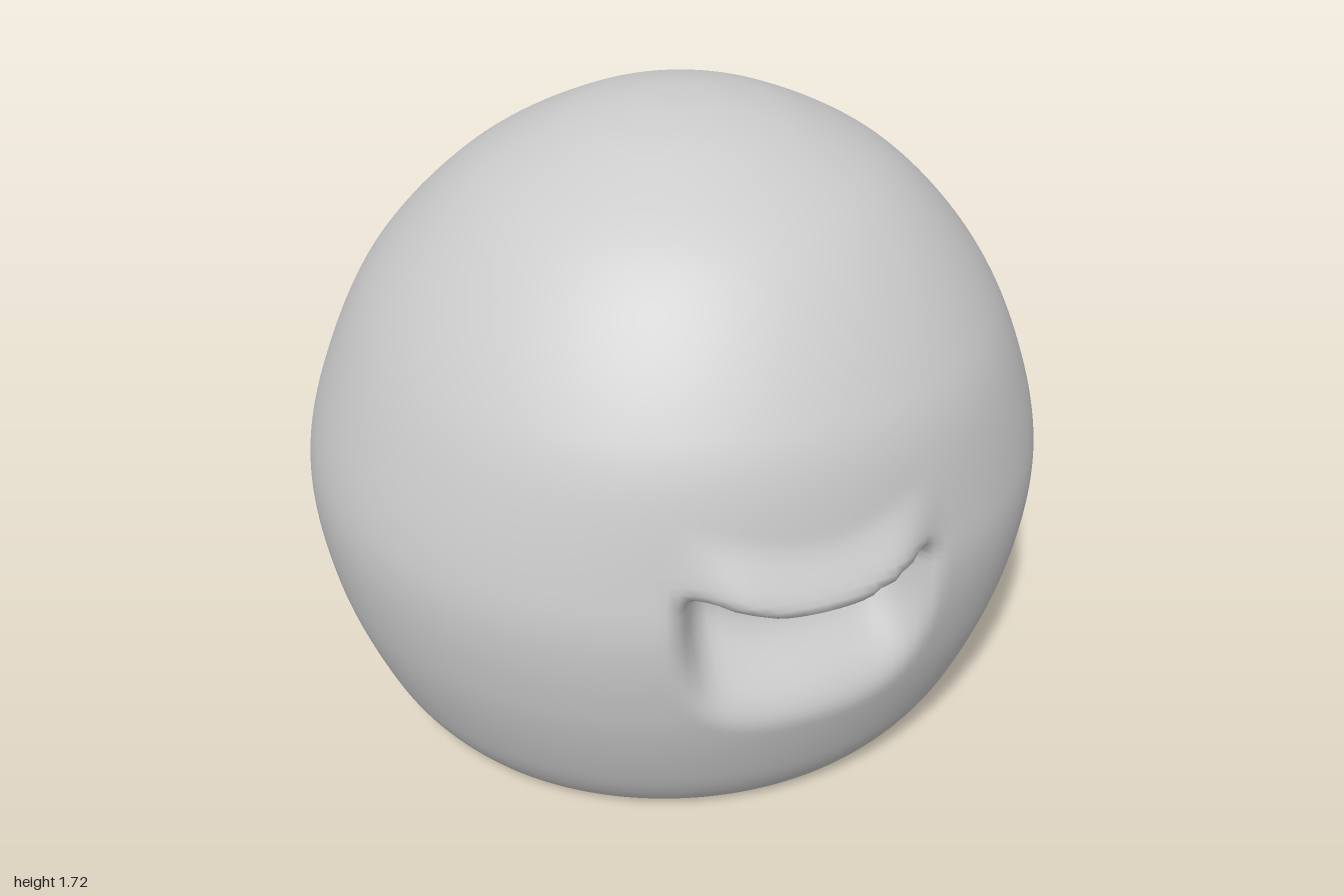
import * as THREE from 'three';
import { mergeVertices } from 'three/addons/utils/BufferGeometryUtils.js';

const { smoothstep } = THREE.MathUtils;
const vec = ([x, y]) => new THREE.Vector2(x, y);

// Half-width of the round body, from the base rim to the crown
const profile = [
  [0.72, 0.01], [0.78, 0.04], [0.87, 0.18], [0.965, 0.45], [0.998, 0.74], [0.93, 1.01],
  [0.795, 1.28], [0.58, 1.515], [0.33, 1.66], [0.14, 1.715], [0, 1.725],
];

// Front is a little flatter than the sides and the crown leans forward
function shapeDepth(y, z) {
  const scale = z > 0 ? 0.95 + 0.055 * smoothstep(y, 0.8, 1.2) : 0.975;
  return z * scale + 0.03 * smoothstep(y, 1.2, 1.6);
}

// Mouth: a hollow sloping back beneath a sagging upper lip
function mouthOffset(x, y) {
  const lipY = 0.74 + 0.85 * Math.min(x * x, 0.09);
  const side = Math.abs(x);
  const floorY = 0.37 + 0.16 * Math.pow(Math.min(side / 0.34, 1), 4);
  const sides = 1 - smoothstep(side, 0.22, 0.36);
  const below = smoothstep(y, floorY, lipY - 0.08);
  const above = 1 - smoothstep(y, lipY - 0.05, lipY + 0.03);
  const lip = 0.045 * (1 - smoothstep(side, 0.18, 0.36)) *
    smoothstep(y, lipY - 0.03, lipY + 0.05) * (1 - smoothstep(y, lipY + 0.04, lipY + 0.2));
  return lip - 0.17 * sides * below * above;
}

function deform(geometry, rule) {
  geometry.deleteAttribute('uv');
  geometry.deleteAttribute('normal');
  const pos = geometry.attributes.position;
  for (let i = 0; i < pos.count; i++) {
    pos.setZ(i, rule(pos.getX(i), pos.getY(i), pos.getZ(i)));
  }
  const merged = mergeVertices(geometry, 1e-4);
  merged.computeVertexNormals();
  return merged;
}

export function createModel() {
  const group = new THREE.Group();
  group.name = 'roundHead';
  const material = new THREE.MeshStandardMaterial({ color: 0xcccccc });
  const add = (name, geometry) => {
    const mesh = new THREE.Mesh(geometry, material);
    mesh.name = name;
    group.add(mesh);
  };

  // Rounded body with the mouth pressed into its front
  const outline = new THREE.SplineCurve(profile.map(vec)).getSpacedPoints(110);
  outline[outline.length - 1].x = 0;
  add('headWithMouth', deform(
    new THREE.LatheGeometry(outline, 200, Math.PI),
    (x, y, z) => shapeDepth(y, z) + (z > 0 ? mouthOffset(x, y) : 0),
  ));

  // Slightly hollow underside
  const base = [[0, 0.025], [0.4, 0.022], [0.6, 0.012], [0.72, 0.01]].map(vec);
  add('underside', deform(new THREE.LatheGeometry(base, 200, Math.PI), (x, y, z) => shapeDepth(y, z)));

  // Rest on the ground
  group.position.y = -0.01;
  return group;
}
